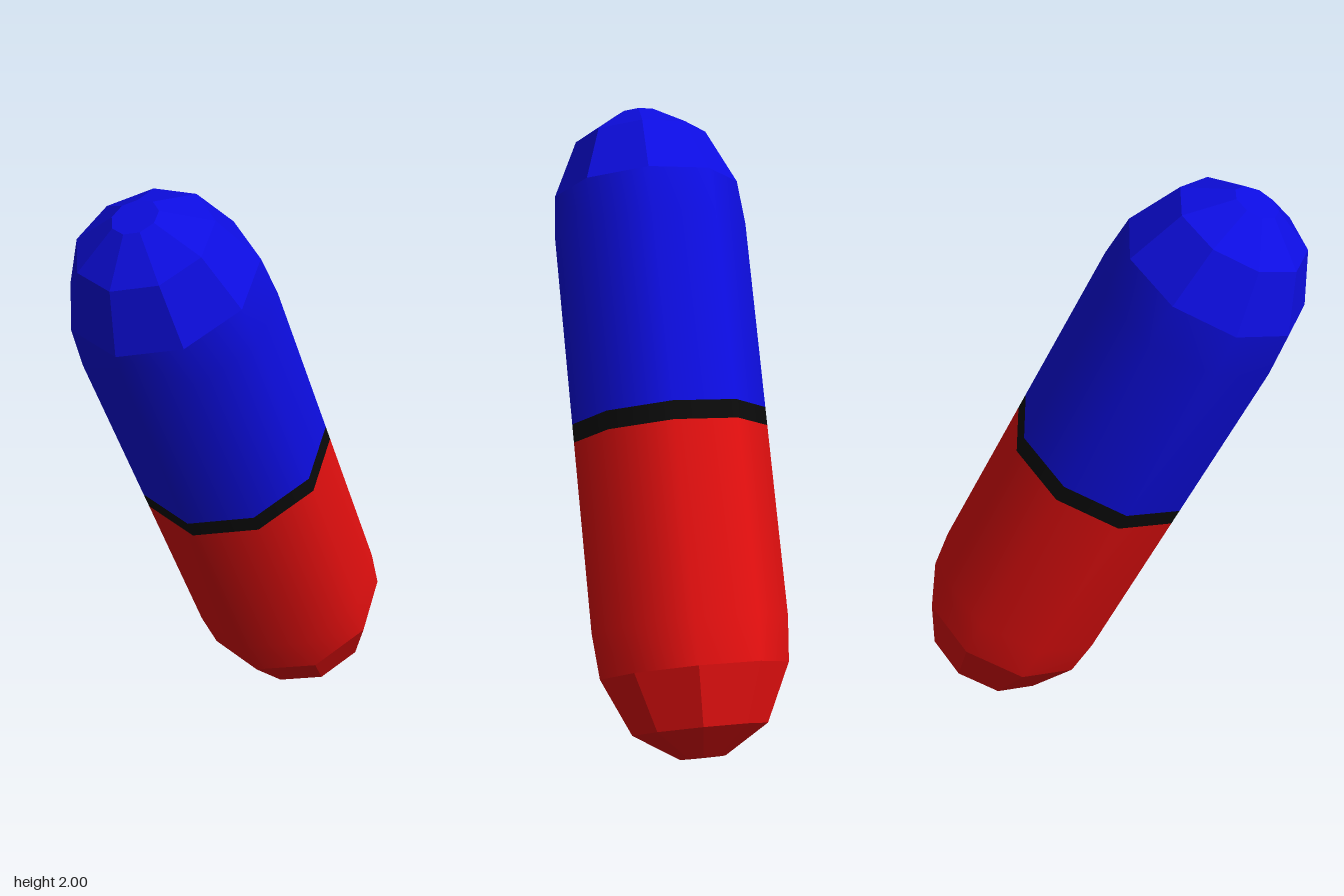
import * as THREE from 'three';

const SIDES = 9;
const BAND = 0.03; // half height of the middle band

const blue = new THREE.MeshStandardMaterial({ color: 0x0d0de2 });
const red = new THREE.MeshStandardMaterial({ color: 0xe20f0f });
const black = new THREE.MeshStandardMaterial({ color: 0x0a0a0a });
blue.name = 'blue';
red.name = 'red';
black.name = 'black';

// Nine-sided turned surface from [radius, height] pairs; a corner points to +x
function turned(profile, faceted) {
  const points = profile
    .map(([r, y]) => new THREE.Vector2(r, y))
    .sort((a, b) => a.y - b.y || a.x - b.x);
  // A flat lower end runs outward from the axis, an upper one runs back inward
  if (points[points.length - 1].x === 0 || points[points.length - 2].x === 0) {
    const n = points.length;
    if (points[n - 1].y === points[n - 2].y && points[n - 1].y > 0) {
      [points[n - 1], points[n - 2]] = [points[n - 2], points[n - 1]];
    }
  }
  const lathe = new THREE.LatheGeometry(points, SIDES, Math.PI / 2);
  if (!faceted) return lathe;
  const flat = lathe.toNonIndexed();
  flat.computeVertexNormals();
  return flat;
}

function addMesh(group, name, geometry, material) {
  const mesh = new THREE.Mesh(geometry, material);
  mesh.name = name;
  group.add(mesh);
}

export function createModel() {
  const model = new THREE.Group();
  model.name = 'capsule';

  const pill = new THREE.Group();
  pill.name = 'tiltedCapsule';
  pill.position.set(-0.01, 1, 0);
  pill.rotation.x = THREE.MathUtils.degToRad(25);
  model.add(pill);

  // Two mirrored halves: smooth shell with a faceted rounded end
  for (const [name, sign, material] of [['upper', 1, blue], ['lower', -1, red]]) {
    const shell = [[0.32, BAND], [0.32, 0.65], [0.307, 0.797]];
    const cap = [[0.307, 0.797], [0.22, 0.982], [0.074, 1.071], [0, 1.071]];
    const mirror = (list) => list.map(([r, y]) => [r, y * sign]);
    addMesh(pill, name + 'Shell', turned(mirror(shell), false), material);
    addMesh(pill, name + 'Cap', turned(mirror(cap), true), material);
  }

  // Band between the halves
  addMesh(pill, 'middleBand', turned([[0.32, -BAND], [0.32, BAND]], false), black);

  return model;
}
